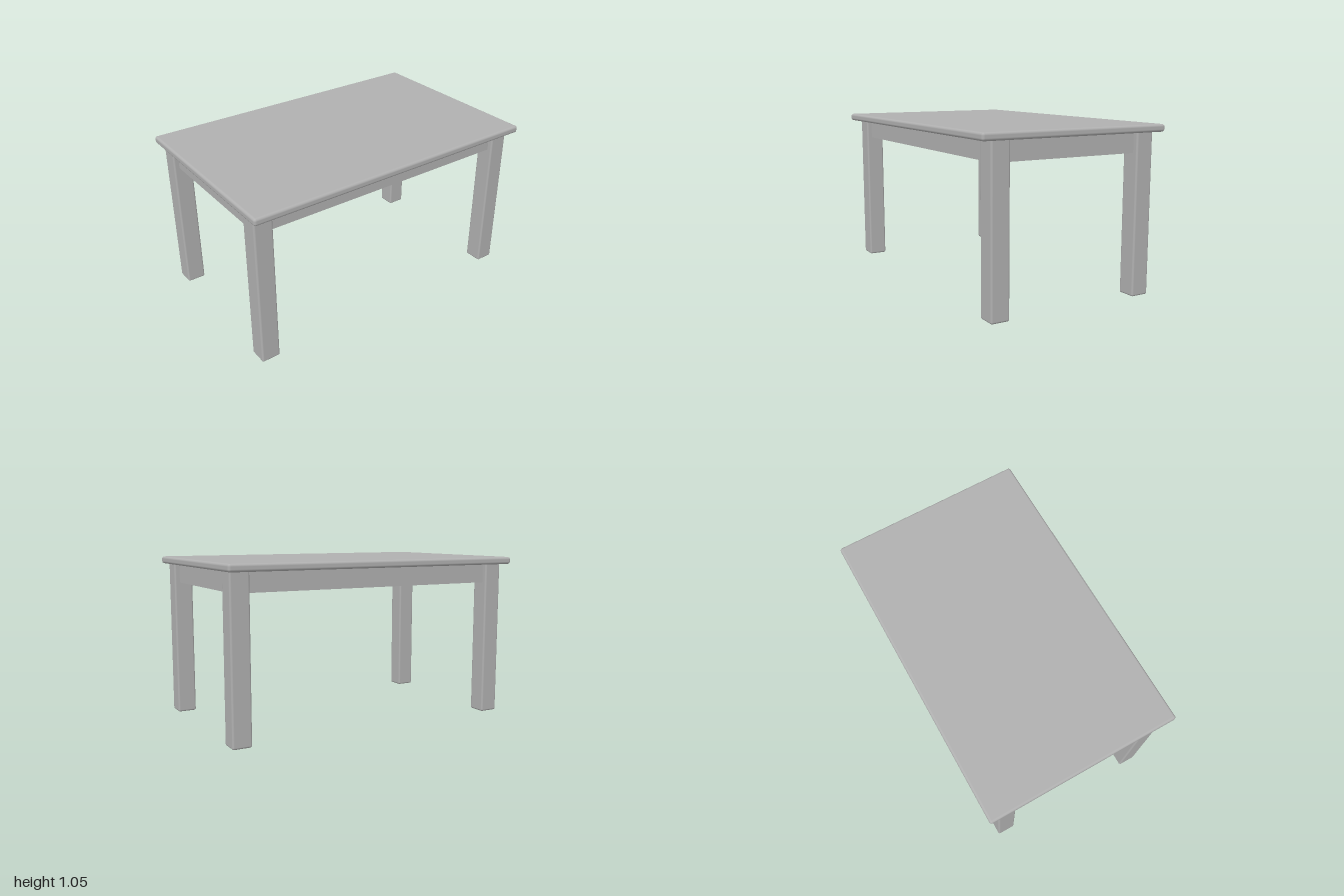
import * as THREE from 'three';
import { RoundedBoxGeometry } from 'three/addons/geometries/RoundedBoxGeometry.js';

export function createModel() {
  const table = new THREE.Group();
  table.name = 'table';
  const grey = new THREE.MeshStandardMaterial({ color: 0xb0b0b0 });
  grey.name = 'plain grey';

  function add(name, geometry, x, y, z) {
    const mesh = new THREE.Mesh(geometry, grey);
    mesh.name = name;
    mesh.position.set(x, y, z);
    table.add(mesh);
  }

  // Tabletop with softened edges
  add('tabletop', new RoundedBoxGeometry(1.26, 0.047, 2, 3, 0.016), 0, 1.0315, 0);

  // Four square legs, reaching just inside the tabletop
  const legX = 0.5, legZ = 0.908, legHeight = 1.02;
  const leg = new RoundedBoxGeometry(0.12, legHeight, 0.122, 3, 0.012);
  for (const x of [1, -1]) {
    for (const z of [1, -1]) {
      add((z > 0 ? 'front' : 'back') + (x > 0 ? 'Left' : 'Right') + 'Leg',
        leg, x * legX, legHeight / 2, z * legZ);
    }
  }

  // Rails between the legs, set back from their outer faces
  const railHeight = 0.13, railY = 0.95, railDepth = 0.055;
  const endRail = new THREE.BoxGeometry(2 * legX - 0.1, railHeight, railDepth);
  const sideRail = new THREE.BoxGeometry(railDepth, railHeight, 2 * legZ - 0.1);
  for (const s of [1, -1]) {
    add(s > 0 ? 'frontRail' : 'backRail', endRail, 0, railY, s * legZ);
    add(s > 0 ? 'leftRail' : 'rightRail', sideRail, s * legX, railY, 0);
  }
  return table;
}
